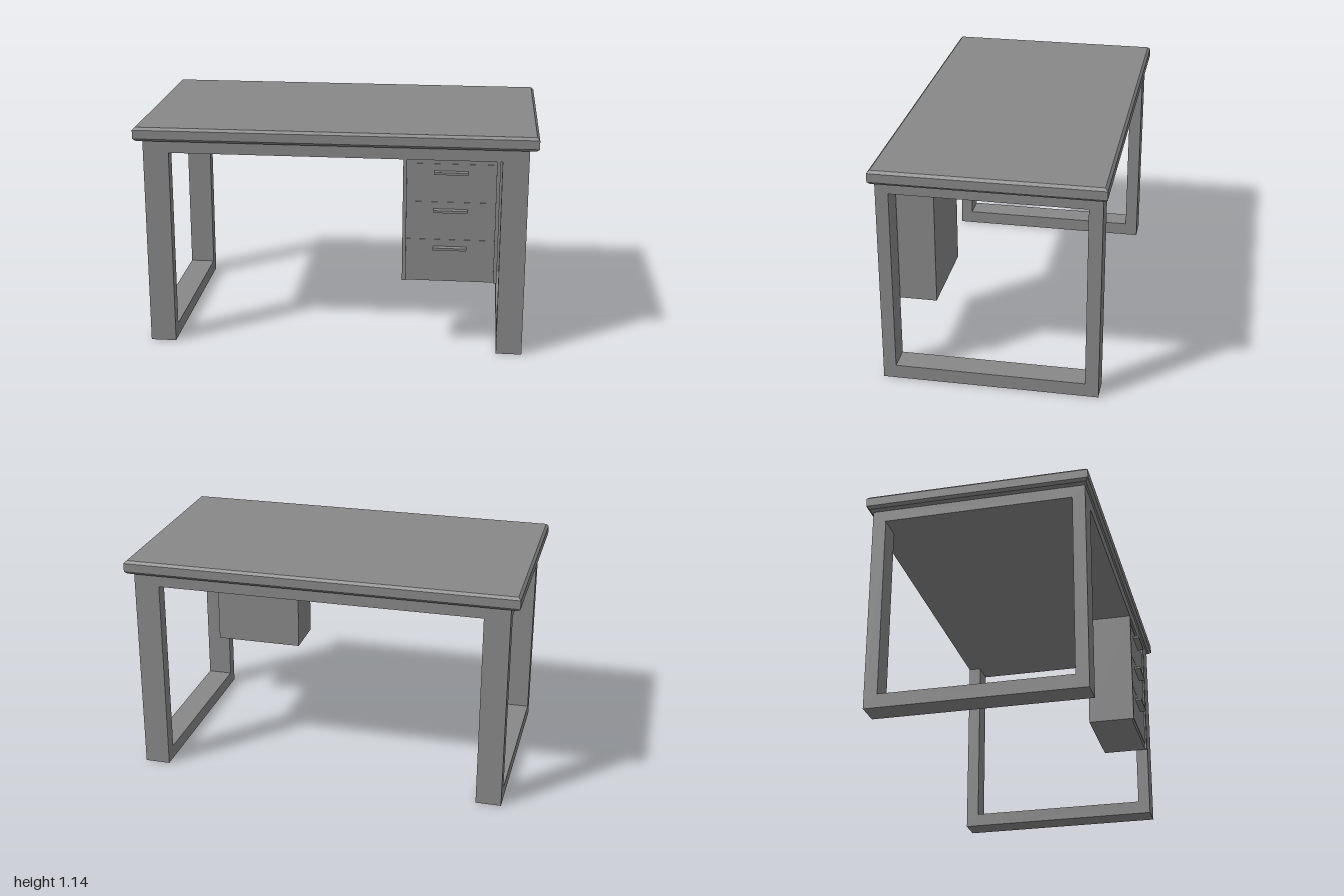
import * as THREE from 'three';

const material = new THREE.MeshStandardMaterial({ color: 0x888888, flatShading: true });

function addMesh(parent, name, geometry, x = 0, y = 0, z = 0) {
  const mesh = new THREE.Mesh(geometry, material);
  mesh.name = name;
  mesh.position.set(x, y, z);
  parent.add(mesh);
  return mesh;
}

// Box given by its lower and upper corners
function addBox(parent, name, [x0, y0, z0], [x1, y1, z1]) {
  const geometry = new THREE.BoxGeometry(x1 - x0, y1 - y0, z1 - z0);
  return addMesh(parent, name, geometry, (x0 + x1) / 2, (y0 + y1) / 2, (z0 + z1) / 2);
}

function rectangle(path, x0, y0, x1, y1) {
  path.moveTo(x0, y0);
  path.lineTo(x1, y0);
  path.lineTo(x1, y1);
  path.lineTo(x0, y1);
  path.closePath();
  return path;
}

export function createModel() {
  const desk = new THREE.Group();
  desk.name = 'desk';

  // Tabletop slab with chamfered upper and lower edges
  const bevel = 0.013;
  const topShape = rectangle(new THREE.Shape(), -1 + bevel, -0.561 + bevel, 1 - bevel, 0.563 - bevel);
  const topGeometry = new THREE.ExtrudeGeometry(topShape, {
    depth: 0.07 - 2 * bevel, bevelEnabled: true, bevelSize: bevel, bevelThickness: bevel, bevelSegments: 1,
  });
  topGeometry.rotateX(-Math.PI / 2);
  addMesh(desk, 'tabletop', topGeometry, 0, 1.07 + bevel, 0);

  // Support slab between the leg frames
  addBox(desk, 'underTopPanel', [-0.826, 1.01, -0.54], [0.826, 1.07, 0.538]);

  // Closed rectangular leg frames at both ends
  const legWidth = 0.129;
  const frameShape = rectangle(new THREE.Shape(), -0.538, 0, 0.54, 1.07);
  frameShape.holes.push(rectangle(new THREE.Path(), -0.474, 0.07, 0.473, 1.01));
  const frameGeometry = new THREE.ExtrudeGeometry(frameShape, { depth: legWidth, bevelEnabled: false });
  frameGeometry.rotateY(Math.PI / 2);
  frameGeometry.translate(-legWidth / 2, 0, 0);
  for (const [name, side] of [['leftLegFrame', 1], ['rightLegFrame', -1]]) {
    addMesh(desk, name, frameGeometry, side * 0.8905, 0, 0);
  }

  // Hanging drawer unit: carcass with side panels, three recessed fronts and bar handles
  const drawers = new THREE.Group();
  drawers.name = 'drawerUnit';
  desk.add(drawers);
  addBox(drawers, 'drawerCarcass', [0.361, 0.38, 0.291], [0.799, 1.01, 0.527]);
  for (const x of [0.343, 0.799]) {
    addBox(drawers, 'drawerSidePanel', [x, 0.38, 0.291], [x + 0.018, 1.01, 0.538]);
  }
  for (let i = 0; i < 3; i++) {
    const top = 0.99 - i * 0.195;
    addBox(drawers, 'drawerFront', [0.361, top - 0.192, 0.51], [0.799, top, 0.53]);
    addBox(drawers, 'drawerHandle', [0.496, top - 0.047, 0.528], [0.662, top - 0.035, 0.563]);
  }
  return desk;
}
